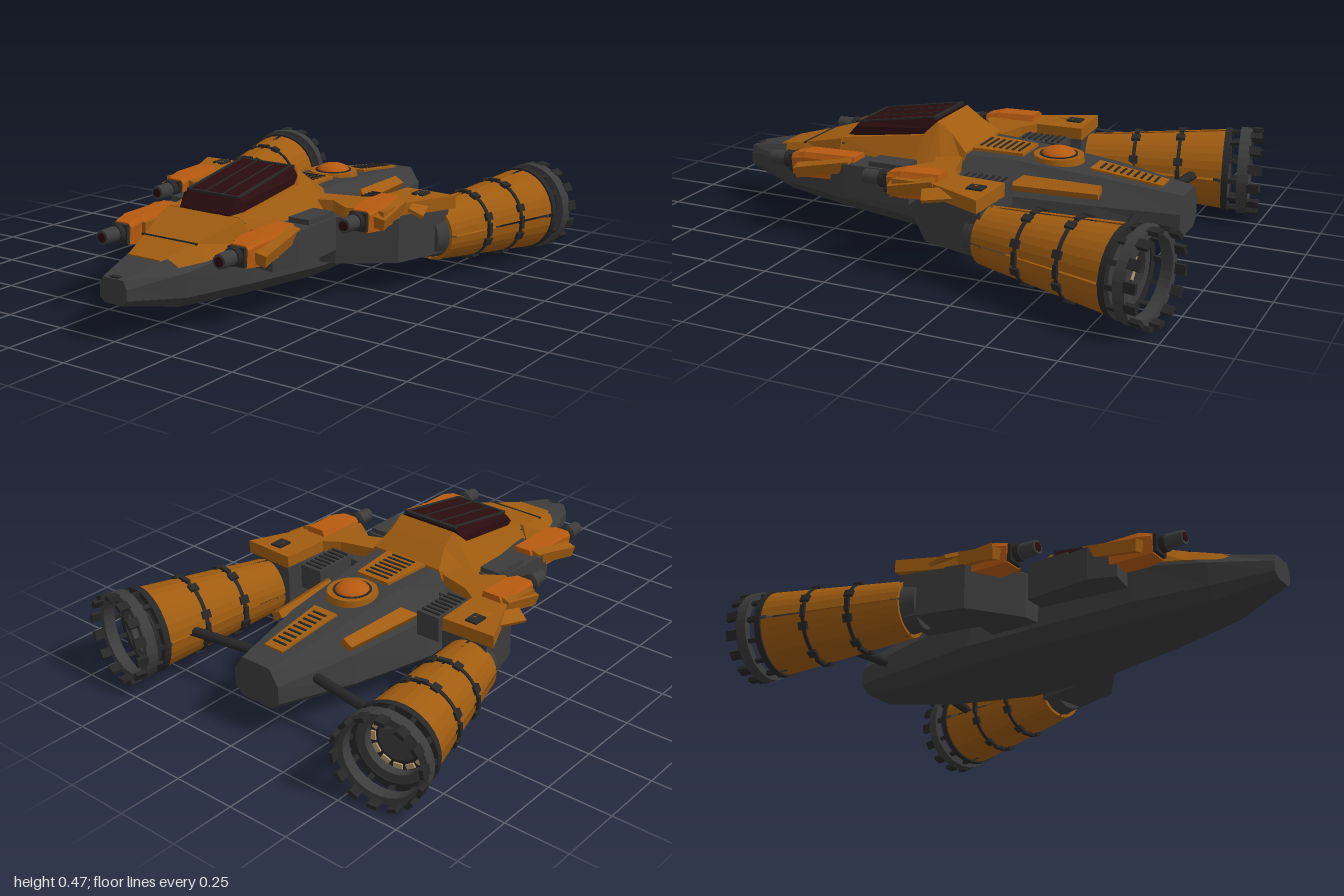
import * as THREE from 'three';

const paint = (name, color, side = THREE.FrontSide) => {
  const m = new THREE.MeshStandardMaterial({ color, side });
  m.name = name;
  return m;
};

export function createModel() {
  const orange = paint('burnt orange', 0xa05c10, THREE.DoubleSide);
  const bright = paint('bright orange', 0xb75a10);
  const grey = paint('dark grey', 0x3c3c3c);
  const black = paint('near black', 0x272727);
  const glass = paint('smoked red glass', 0x2a0c0f);
  const tan = paint('pale tan', 0xb59a6a);

  const root = new THREE.Group();
  root.name = 'starfighter';

  function add(parent, name, geo, mat, x = 0, y = 0, z = 0) {
    const m = new THREE.Mesh(geo, mat);
    m.name = name;
    m.position.set(x, y, z);
    parent.add(m);
    return m;
  }
  const box = (p, name, mat, w, h, d, x, y, z) => add(p, name, new THREE.BoxGeometry(w, h, d), mat, x, y, z);
  const flat = (g) => {
    const n = g.index ? g.toNonIndexed() : g;
    n.computeVertexNormals();
    return n;
  };

  // Symmetric loft: sections run front to back, each [z, [x, y]...] from bottom to top
  function loft(sections) {
    const rings = sections.map(([z, ...h]) => [
      ...h.map(([x, y]) => [x, y, z]),
      ...h.slice().reverse().map(([x, y]) => [-x, y, z]),
    ]);
    const pos = [], n = rings[0].length;
    const tri = (...v) => v.forEach((p) => pos.push(...p));
    for (let i = 0; i < rings.length - 1; i++) {
      for (let j = 0; j < n; j++) {
        const k = (j + 1) % n, f = rings[i], b = rings[i + 1];
        tri(f[j], b[j], f[k]);
        tri(f[k], b[j], b[k]);
      }
    }
    const a = rings[0], e = rings[rings.length - 1];
    for (let j = 1; j < n - 1; j++) {
      tri(a[0], a[j], a[j + 1]);
      tri(e[0], e[j + 1], e[j]);
    }
    const g = new THREE.BufferGeometry();
    g.setAttribute('position', new THREE.Float32BufferAttribute(pos, 3));
    g.computeVertexNormals();
    return g;
  }

  // Slab from a plan outline of [x, z] points, hanging below its top height
  function slab(pts, top, depth) {
    const s = new THREE.Shape(pts.map(([x, z]) => new THREE.Vector2(x, z)));
    const g = new THREE.ExtrudeGeometry(s, { depth, bevelEnabled: false });
    return g.rotateX(Math.PI / 2).translate(0, top, 0);
  }

  // Turned part along local z from [radius, z] points
  function turned(pts, seg = 32, start = 0, sweep = Math.PI * 2) {
    const g = new THREE.LatheGeometry(pts.map(([r, z]) => new THREE.Vector2(r, z)), seg, start, sweep);
    return flat(g.rotateX(Math.PI / 2));
  }
  const hoop = (r0, r1, z0, z1) => turned([[r1, z0], [r1, z1], [r0, z1], [r0, z0], [r1, z0]]);

  // Hull
  add(root, 'hull', loft([
    [1, [0.04, 0.14], [0.06, 0.16], [0.06, 0.2], [0.045, 0.23]],
    [0.78, [0.1, 0.09], [0.14, 0.13], [0.145, 0.22], [0.09, 0.275]],
    [0.5, [0.15, 0.07], [0.2, 0.12], [0.2, 0.26], [0.17, 0.34]],
    [0.1, [0.2, 0.05], [0.25, 0.1], [0.24, 0.26], [0.17, 0.355]],
    [-0.2, [0.2, 0.05], [0.26, 0.1], [0.23, 0.24], [0.13, 0.35]],
    [-0.55, [0.13, 0.07], [0.19, 0.12], [0.175, 0.23], [0.11, 0.32]],
    [-0.86, [0.07, 0.12], [0.105, 0.15], [0.105, 0.22], [0.065, 0.28]],
  ]), grey);
  box(root, 'noseSlot', black, 0.04, 0.015, 0.02, 0, 0.228, 0.985);

  // Orange nose cover and cockpit cowl
  add(root, 'noseCover', loft([
    [0.84, [0.1, 0.235], [0.07, 0.267]],
    [0.7, [0.165, 0.245], [0.115, 0.3]],
    [0.5, [0.205, 0.27], [0.175, 0.355]],
  ]), orange);
  box(root, 'noseSeam', black, 0.25, 0.006, 0.008, 0, 0.3, 0.7);
  add(root, 'cockpitCowl', loft([
    [0.5, [0.205, 0.27], [0.16, 0.357]],
    [0.15, [0.25, 0.28], [0.165, 0.41]],
    [0.1, [0.25, 0.28], [0.13, 0.462]],
    [0.04, [0.225, 0.3], [0.13, 0.42]],
    [-0.03, [0.18, 0.31], [0.16, 0.362]],
  ]), orange);

  // Canopy with its frame
  add(root, 'canopyGlass', loft([
    [0.5, [0.115, 0.34], [0.115, 0.358], [0.11, 0.36]],
    [0.45, [0.14, 0.34], [0.135, 0.4], [0.11, 0.415]],
    [0.12, [0.16, 0.34], [0.148, 0.435], [0.122, 0.472]],
  ]), glass);
  for (const x of [-0.115, -0.04, 0.04, 0.115]) {
    const bar = box(root, 'canopyBar', black, Math.abs(x) > 0.1 ? 0.012 : 0.005, 0.006, 0.335, x, 0.444, 0.285);
    bar.rotation.x = 0.171;
  }
  box(root, 'canopyFrontFrame', black, 0.23, 0.008, 0.012, 0, 0.415, 0.45);
  box(root, 'canopyRearFrame', black, 0.25, 0.01, 0.015, 0, 0.469, 0.12);

  // Deck grilles and dome
  function grille(name, z0, z1, w0, w1, y, tilt, count) {
    const g = new THREE.Group();
    g.name = name;
    g.position.set(0, y, (z0 + z1) / 2);
    g.rotation.x = tilt;
    root.add(g);
    const h = (z1 - z0) / 2;
    add(g, 'grillePlate', slab([[-w0, -h], [w0, -h], [w1, h], [-w1, h]], 0.008, 0.02), orange);
    for (let i = 0; i < count; i++) {
      box(g, 'grilleSlot', black, w0 * 1.45, 0.006, 0.008, 0, 0.009, h * (-0.75 + 1.5 * i / (count - 1)));
    }
  }
  grille('frontGrille', -0.23, -0.02, 0.075, 0.095, 0.354, -0.02, 7);
  grille('rearGrille', -0.77, -0.49, 0.042, 0.055, 0.309, -0.12, 9);
  add(root, 'domeRing', new THREE.CylinderGeometry(0.095, 0.1, 0.03, 24), orange, 0, 0.341, -0.345);
  add(root, 'domeGroove', new THREE.CylinderGeometry(0.073, 0.073, 0.01, 24), black, 0, 0.354, -0.345);
  const dome = add(root, 'dome', new THREE.SphereGeometry(0.066, 24, 10, 0, Math.PI * 2, 0, Math.PI / 2), bright, 0, 0.352, -0.345);
  dome.scale.y = 0.5;

  // Everything below is built for the left side and mirrored
  function buildSide(s) {
    const side = new THREE.Group();
    side.name = s > 0 ? 'leftSide' : 'rightSide';
    side.scale.x = s;
    root.add(side);

    // Rear shoulder panel
    const panel = add(side, 'rearShoulderPanel', slab([[0.12, -0.56], [0.165, -0.56], [0.2, -0.22], [0.14, -0.26]], 0, 0.03), orange);
    panel.position.set(0.056, 0.398, -0.02);
    panel.rotation.set(-0.05, 0, -0.55);

    // Wing arm and armour
    add(side, 'wingArm', slab([[0.18, 0.13], [0.31, 0.11], [0.5, -0.03], [0.57, -0.28], [0.38, -0.29], [0.34, -0.08], [0.2, -0.08]], 0.3, 0.18), grey);
    add(side, 'wingArmour', slab([[0.16, -0.02], [0.31, -0.06], [0.37, -0.1], [0.38, -0.29], [0.6, -0.28], [0.5, -0.06], [0.51, 0.1], [0.46, 0.08], [0.36, 0.12], [0.26, 0.05], [0.16, 0.09]], 0.345, 0.05), orange);
    const flap = box(side, 'wingFlap', orange, 0.06, 0.014, 0.2, 0.525, 0.325, -0.14);
    flap.rotation.set(0.1, 0.35, -0.5);
    box(side, 'wingHatch', black, 0.05, 0.008, 0.06, 0.48, 0.348, -0.225);
    box(side, 'wingRadiator', grey, 0.1, 0.1, 0.19, 0.29, 0.265, -0.165);
    for (let i = 0; i < 7; i++) box(side, 'radiatorFin', black, 0.08, 0.008, 0.008, 0.29, 0.317, -0.24 + i * 0.025);

    // Front sponson
    add(side, 'sponson', slab([[0.18, 0.13], [0.325, 0.13], [0.34, 0.4], [0.3, 0.5], [0.18, 0.48]], 0.31, 0.13), grey);
    box(side, 'sponsonLid', grey, 0.09, 0.03, 0.16, 0.275, 0.315, 0.22);

    // Gun pods
    function gunPod(name, x, y, z, len) {
      const g = new THREE.Group();
      g.name = name;
      g.position.set(x, y, z);
      side.add(g);
      add(g, 'podHousing', loft([
        [0, [0.035, -0.045], [0.042, 0.02], [0.03, 0.035]],
        [-0.06, [0.045, -0.05], [0.048, 0.03], [0.038, 0.05]],
        [-len, [0.045, -0.04], [0.045, 0.03], [0.035, 0.055]],
      ]), bright);
      const fin = box(g, 'podFin', orange, 0.045, 0.045, len * 0.85, 0.055, 0.005, -len * 0.55);
      fin.rotation.set(0.2, 0.08, -0.25);
      box(g, 'podInnerPlate', orange, 0.02, 0.05, len * 0.7, -0.053, 0.005, -len * 0.55);
      box(g, 'podBezel', black, 0.07, 0.07, 0.02, 0, -0.005, 0.005);
      add(g, 'gunBarrel', new THREE.CylinderGeometry(0.027, 0.031, 0.12, 12).rotateX(Math.PI / 2), grey, 0, 0, 0.05);
      add(g, 'gunCollar', new THREE.CylinderGeometry(0.034, 0.034, 0.025, 12).rotateX(Math.PI / 2), black, 0, 0, 0.03);
      add(g, 'gunMuzzle', new THREE.CylinderGeometry(0.018, 0.018, 0.006, 12).rotateX(Math.PI / 2), glass, 0, 0, 0.11);
    }
    gunPod('frontGunPod', 0.265, 0.275, 0.65, 0.28);
    gunPod('rearGunPod', 0.435, 0.315, 0.14, 0.21);

    // Engine, its local z pointing rearward along the axis
    const eng = new THREE.Group();
    eng.name = 'engine';
    eng.position.set(0.497, 0.183, -0.28);
    eng.rotation.y = Math.PI - 0.2;
    side.add(eng);
    const radius = (z) => 0.108 + z * 0.095;
    const around = (n, fn, offset = 0) => {
      for (let i = 0; i < n; i++) {
        const spoke = new THREE.Group();
        spoke.name = 'engineSpoke';
        spoke.rotation.z = offset + (i / n) * Math.PI * 2;
        eng.add(spoke);
        fn(spoke);
      }
    };
    add(eng, 'engineHub', new THREE.CylinderGeometry(0.1, 0.085, 0.09, 24).rotateX(Math.PI / 2), grey, 0, 0, -0.01);
    for (let i = 0; i < 4; i++) {
      const r0 = radius(0), r1 = radius(0.56);
      add(eng, 'enginePanel', turned([[r0, 0], [r1, 0.56], [r1 - 0.012, 0.56], [r0 - 0.012, 0], [r0, 0]], 7, i * Math.PI / 2 + 0.045, Math.PI / 2 - 0.09), orange);
    }
    // Bands with clips
    for (const z of [0.2, 0.38]) {
      const r = radius(z);
      add(eng, 'engineBand', hoop(r - 0.006, r + 0.005, z - 0.007, z + 0.007), black);
      around(8, (p) => box(p, 'bandClip', black, 0.03, 0.016, 0.035, 0, r + 0.003, z), Math.PI / 8);
      around(4, (p) => box(p, 'seamClip', black, 0.05, 0.014, 0.018, 0, r + 0.003, z));
    }
    // Exhaust rings, posts and teeth
    add(eng, 'shellRing', hoop(0.14, 0.168, 0.555, 0.58), black);
    add(eng, 'exhaustRing', hoop(0.145, 0.174, 0.615, 0.66), grey);
    around(12, (p) => box(p, 'ringPost', black, 0.018, 0.014, 0.05, 0, 0.157, 0.598));
    around(14, (p) => box(p, 'ringTooth', black, 0.036, 0.016, 0.045, 0, 0.168, 0.677), 0.1);
    // Nozzle
    add(eng, 'nozzleFlare', hoop(0.108, 0.15, 0.54, 0.575), grey);
    add(eng, 'nozzleCore', new THREE.CylinderGeometry(0.11, 0.11, 0.02, 24).rotateX(Math.PI / 2), black, 0, 0, 0.53);
    add(eng, 'nozzleCap', new THREE.CylinderGeometry(0.06, 0.078, 0.02, 24).rotateX(Math.PI / 2), grey, 0, 0, 0.548);
    around(12, (p) => box(p, 'nozzleGlow', tan, 0.034, 0.018, 0.008, 0, 0.093, 0.543));

    // Strut from hull to engine
    const a = new THREE.Vector3(0.08, 0.2, -0.695), b = new THREE.Vector3(0.46, 0.19, -0.74);
    const strut = add(side, 'engineStrut', new THREE.CylinderGeometry(0.019, 0.019, a.distanceTo(b), 8), black);
    strut.position.copy(a).lerp(b, 0.5);
    strut.quaternion.setFromUnitVectors(new THREE.Vector3(0, 1, 0), b.clone().sub(a).normalize());
  }
  buildSide(1);
  buildSide(-1);
  return root;
}
